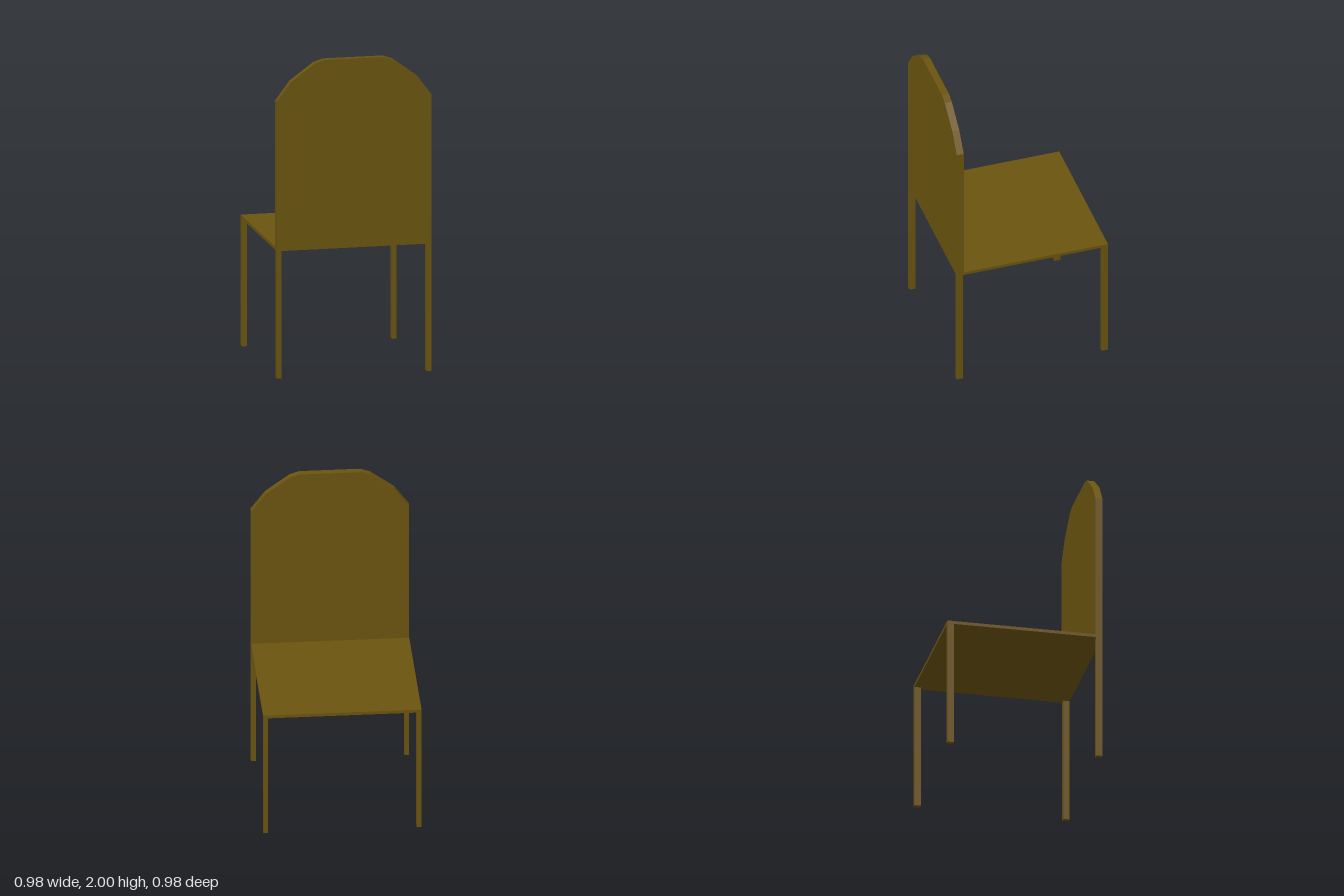
import * as THREE from 'three';

export function createModel() {
  const chair = new THREE.Group();
  chair.name = 'chair';
  const wood = new THREE.MeshStandardMaterial({ color: 0x6b540f, flatShading: true });

  const HALF = 0.49;         // half the width and depth
  const SEAT_BOTTOM = 0.805;
  const SEAT_TOP = 0.825;
  const BACK_Z = 0.445;      // inner face of the backrest

  const add = (name, geometry, x = 0, y = 0, z = 0) => {
    const mesh = new THREE.Mesh(geometry, wood);
    mesh.name = name;
    mesh.position.set(x, y, z);
    chair.add(mesh);
  };

  // Thin seat panel, running up to the backrest
  add('seat', new THREE.BoxGeometry(2 * HALF, SEAT_TOP - SEAT_BOTTOM, HALF + BACK_Z),
    0, (SEAT_TOP + SEAT_BOTTOM) / 2, (BACK_Z - HALF) / 2);

  // Backrest panel with a faceted, arched top
  const rightEdge = [[HALF, SEAT_BOTTOM], [HALF, 1.75], [0.4, 1.87], [0.25, 1.98], [0.19, 2]];
  const leftEdge = rightEdge.map(([x, y]) => [-x, y]).reverse();
  const outline = [...rightEdge, ...leftEdge].map(([x, y]) => new THREE.Vector2(x, y));
  add('backrest', new THREE.ExtrudeGeometry(new THREE.Shape(outline),
    { depth: HALF - BACK_Z, bevelEnabled: false }), 0, 0, BACK_Z);

  // Four slim rectangular legs
  const legW = 0.03, legD = 0.04;
  for (const sx of [-1, 1]) {
    for (const sz of [-1, 1]) {
      const name = (sx > 0 ? 'left' : 'right') + (sz > 0 ? 'BackrestLeg' : 'SeatEdgeLeg');
      add(name, new THREE.BoxGeometry(legW, SEAT_BOTTOM, legD),
        sx * (HALF - legW / 2), SEAT_BOTTOM / 2, sz * (HALF - legD / 2));
    }
  }
  return chair;
}
